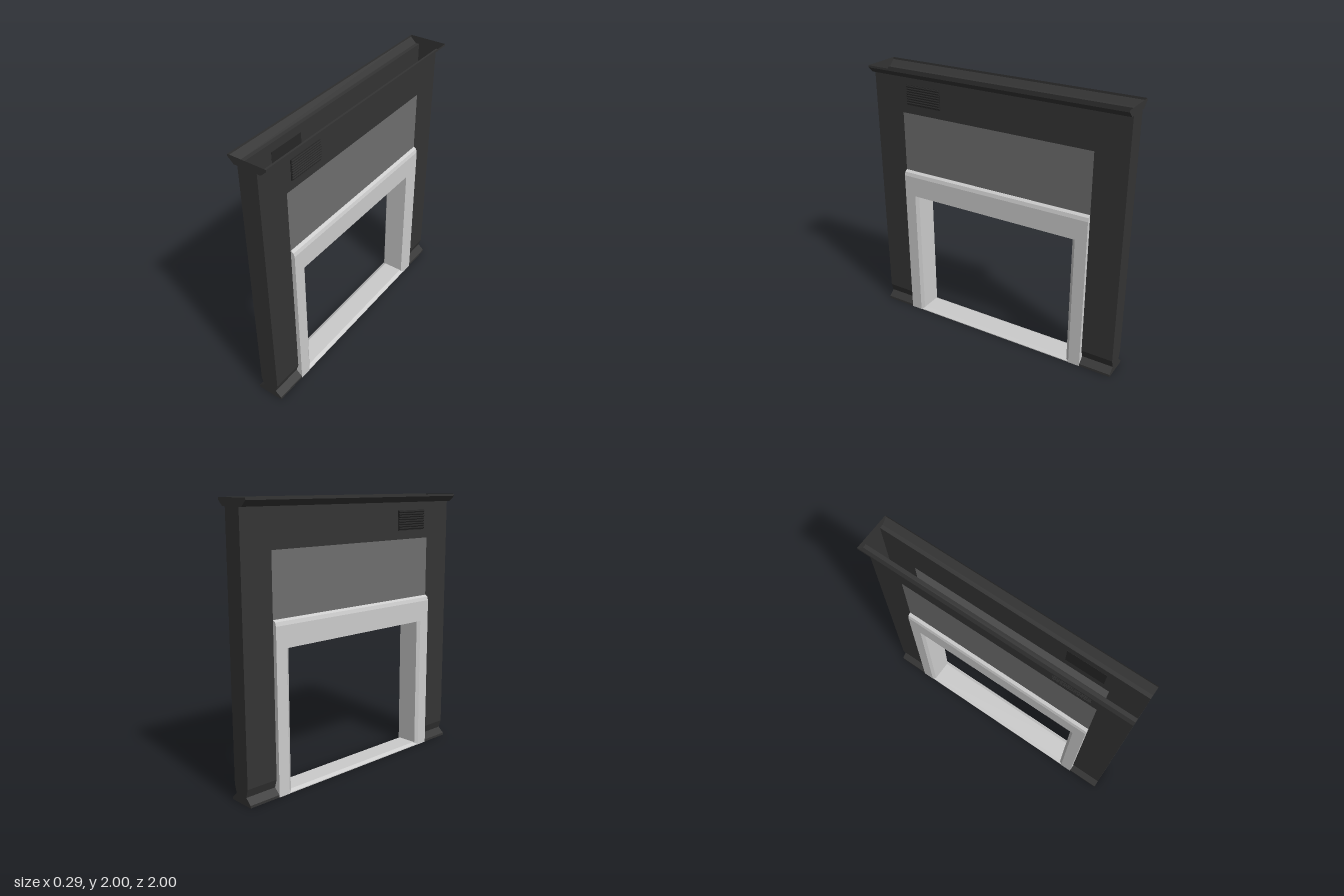
import * as THREE from 'three';

const mat = (color) => new THREE.MeshStandardMaterial({ color, side: THREE.DoubleSide, flatShading: true });
const dark = mat(0x343434), mid = mat(0x6e6e6e), light = mat(0xcccccc), black = mat(0x262626);

function add(parent, name, geometry, material) {
  const mesh = new THREE.Mesh(geometry, material);
  mesh.name = name;
  parent.add(mesh);
  return mesh;
}

// Open sheet that sweeps an (x, y) profile from z0 to z1
function sheet(profile, z0, z1) {
  const pos = [];
  for (let i = 0; i < profile.length - 1; i++) {
    const [ax, ay] = profile[i], [bx, by] = profile[i + 1];
    pos.push(ax, ay, z0, bx, by, z0, bx, by, z1, ax, ay, z0, bx, by, z1, ax, ay, z1);
  }
  const g = new THREE.BufferGeometry();
  g.setAttribute('position', new THREE.Float32BufferAttribute(pos, 3));
  g.computeVertexNormals();
  return g;
}

const flipX = (p) => p.map(([x, y]) => [-x, y]);
const outline = (p) => [...p, ...flipX(p).reverse()];
const flat = (points, z) =>
  new THREE.ShapeGeometry(new THREE.Shape(points.map(([x, y]) => new THREE.Vector2(x, y)))).translate(0, 0, z);

export function createModel() {
  const model = new THREE.Group();
  model.name = 'doorWall';

  // Half profiles, running downwards (or outwards for the foot)
  const cornice = [[0.143, 2], [0.143, 1.985], [0.1, 1.945], [0.072, 1.945]];
  const upper = [...cornice, [0.072, 1.67]];
  const pier = [[0.072, 1.67], [0.072, 0.12], [0.035, 0]];
  const foot = [[0.052, 0.06], [0.1, 0.018], [0.1, 0]];

  // Hollow wall, open at the top and bottom
  const wall = new THREE.Group();
  wall.name = 'wall';
  model.add(wall);
  for (const s of [1, -1]) {
    const side = (p) => (s > 0 ? p : flipX(p));
    add(wall, 'upperWall', sheet(side(upper), -1, 1), dark);
    add(wall, 'transomPanel', sheet(side([[0.072, 1.67], [0.072, 1.2]]), -0.76, 0.76), mid);
    for (const e of [1, -1]) {
      add(wall, 'pier', sheet(side(pier), e * 0.76, e), dark);
      add(wall, 'foot', sheet(side(foot), e * 0.76, e), dark);
      add(wall, 'footEnd', flat(side([[0.052, 0.06], [0.1, 0.018], [0.1, 0], [0.035, 0]]), e), dark);
    }
  }
  for (const e of [1, -1]) add(wall, 'wallEnd', flat(outline([...upper, ...pier.slice(1)]), e), dark);

  // Door frame: header with rounded top edges
  const frame = new THREE.Group();
  frame.name = 'doorFrame';
  model.add(frame);
  const header = outline([[0.075, 1.22], [0.094, 1.207], [0.102, 1.18], [0.102, 1.025]]);
  add(frame, 'header', sheet([...header, header[0]], -0.76, 0.76), light);
  for (const e of [1, -1]) {
    add(frame, 'headerEnd', flat(header, e * 0.76), light);
    // Hollow jamb, chamfered on the inner corners
    const half = [[0.102, 0.76], [0.102, 0.672], [0.085, 0.648]];
    const loop = outline(half).map(([x, z]) => [x, -e * z]);
    const jamb = sheet([...loop, loop[0]], 0, 1.025);
    jamb.rotateX(-Math.PI / 2);
    add(frame, 'jamb', jamb, light);
  }
  // Threshold with bevelled edges
  const sill = outline([[0.075, 0.02], [0.1, 0.006], [0.1, 0]]);
  add(frame, 'sill', sheet([...sill, sill[0]], -0.67, 0.67), light);

  // Louvred vents, one on each face
  for (const s of [1, -1]) {
    const vent = new THREE.Group();
    vent.name = 'vent';
    model.add(vent);
    add(vent, 'ventBase', new THREE.BoxGeometry(0.008, 0.148, 0.285), black).position.set(s * 0.075, 1.81, 0.57);
    for (let i = 0; i < 8; i++) {
      const y = 1.745 + i * 0.0177;
      const slat = [[0.078, y + 0.013], [0.087, y + 0.008], [0.087, y + 0.002], [0.078, y - 0.003]];
      const p = s > 0 ? slat : flipX(slat);
      add(vent, 'slat', sheet(p, 0.43, 0.71), black);
      for (const z of [0.43, 0.71]) add(vent, 'slatEnd', flat(p, z), black);
    }
  }
  return model;
}
